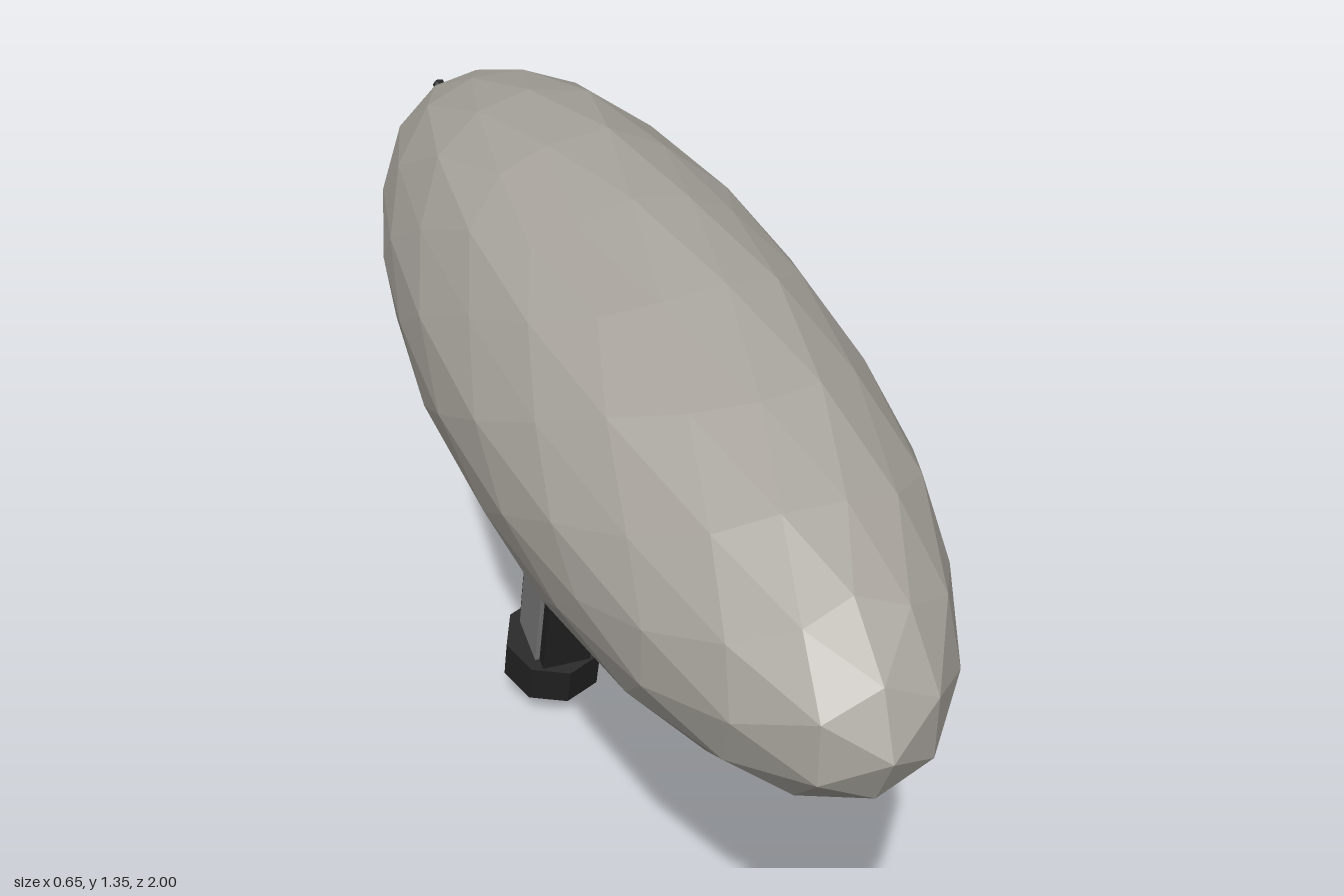
import * as THREE from 'three';

const paint = (color) => new THREE.MeshStandardMaterial({ color, flatShading: true });

export function createModel() {
  const model = new THREE.Group();
  const stone = paint(0xaaa69f);
  const light = paint(0xcccccc);
  const grey = paint(0x808080);
  const dark = paint(0x242424);

  function add(parent, name, geometry, material, x, y, z) {
    const mesh = new THREE.Mesh(geometry, material);
    mesh.name = name;
    mesh.position.set(x, y, z);
    parent.add(mesh);
    return mesh;
  }

  // Faceted boulder: a stretched icosphere with a gentle uneven surface
  const rock = new THREE.IcosahedronGeometry(1, 3);
  const p = rock.attributes.position;
  const v = new THREE.Vector3();
  for (let i = 0; i < p.count; i++) {
    v.fromBufferAttribute(p, i);
    const ring = 1 - v.z * v.z;
    const bump = 0.025 * Math.sin(7 * v.x + 3 * v.z + 1) * Math.cos(6 * v.y - 4 * v.z);
    // shallow dent on the upper side, slight hollow under the front
    const dent = 0.06 * Math.exp(-12 * ((v.x + 0.28) ** 2 + (v.y - 0.92) ** 2 + (v.z - 0.12) ** 2));
    const hollow = 0.05 * Math.exp(-10 * (v.x ** 2 + (v.y + 0.9) ** 2 + (v.z - 0.42) ** 2));
    const r = 0.322 * (1 + ring * bump - dent - hollow);
    p.setXYZ(i, v.x * r, v.y * r, v.z);
  }
  rock.computeVertexNormals();
  add(model, 'body', rock, stone, 0, 1.03, 0);

  // Mounting plate and hinge barrel under the body
  add(model, 'mountPlate', new THREE.BoxGeometry(0.06, 0.028, 0.5), dark, 0, 0.686, -0.305);
  const hinge = add(model, 'hinge', new THREE.CylinderGeometry(0.075, 0.075, 0.187, 8), light, 0.002, 0.625, -0.305);
  hinge.rotation.z = Math.PI / 2;

  // Tilted handle with grip strips, collar and end stud
  const handle = new THREE.Group();
  handle.name = 'handle';
  handle.rotation.x = THREE.MathUtils.degToRad(15);
  model.add(handle);
  const axis = -0.481;
  add(handle, 'handleCore', new THREE.BoxGeometry(0.114, 0.507, 0.1), grey, 0, 0.2535, axis);
  for (const s of [-1, 1]) {
    add(handle, 'gripStrip', new THREE.BoxGeometry(0.096, 0.507, 0.026), dark, 0, 0.2535, axis + s * 0.062);
  }
  add(handle, 'collar', new THREE.CylinderGeometry(0.1, 0.1, 0.092, 8), dark, 0, -0.004, axis);
  add(handle, 'endStud', new THREE.CylinderGeometry(0.033, 0.033, 0.09, 8), light, 0, -0.075, axis);

  // Eyes, thin limbs and feet at the rear end
  for (const s of [-1, 1]) {
    add(model, 'eye', new THREE.IcosahedronGeometry(0.013, 0), dark, s * 0.05, 1.138, -0.935);
    const top = new THREE.Vector3(s * 0.09, 1.0, -0.907);
    const end = new THREE.Vector3(s * 0.14, 0.79, -0.872);
    const limb = add(model, 'limb', new THREE.CylinderGeometry(0.01, 0.01, top.distanceTo(end), 6), dark, 0, 0, 0);
    limb.position.lerpVectors(top, end, 0.5);
    limb.quaternion.setFromUnitVectors(new THREE.Vector3(0, 1, 0), top.clone().sub(end).normalize());
    const foot = add(model, 'foot', new THREE.CylinderGeometry(0.016, 0.016, 0.036, 6), dark, s * 0.15, 0.78, -0.936);
    foot.rotation.x = -0.15;
  }
  return model;
}
